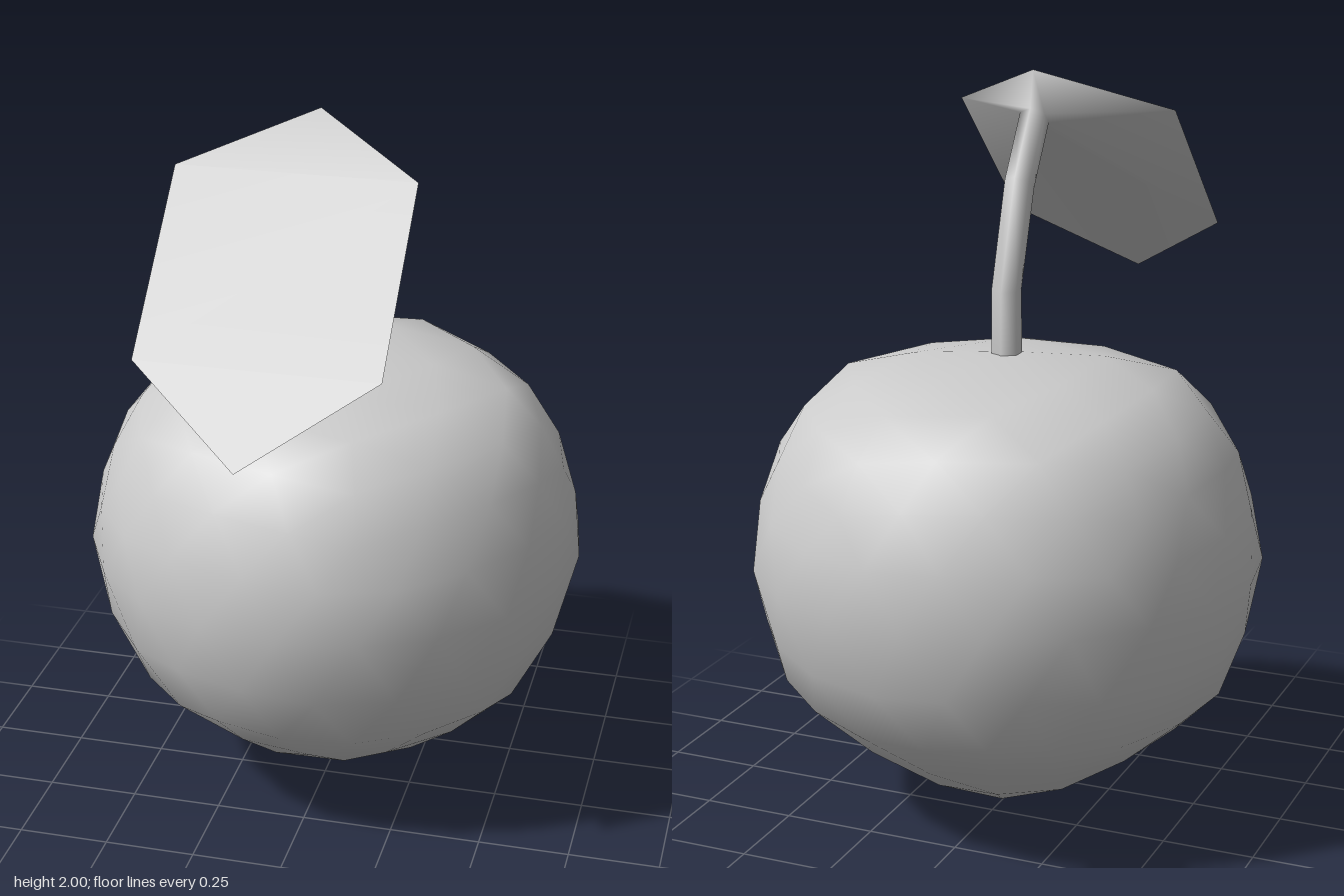
import * as THREE from 'three';
import { mergeVertices } from 'three/addons/utils/BufferGeometryUtils.js';

const CENTRE_Z = -0.14;

function makeMesh(name, geometry) {
  geometry.computeVertexNormals();
  const mesh = new THREE.Mesh(geometry, new THREE.MeshStandardMaterial({ color: 0xcccccc }));
  mesh.name = name;
  return mesh;
}

function fromLoops(points, index) {
  const geometry = new THREE.BufferGeometry();
  geometry.setAttribute('position', new THREE.Float32BufferAttribute(points.flat(), 3));
  geometry.setIndex(index);
  return geometry;
}

// Fruit: an icosphere with a pole up, reshaped by a profile of [polar angle, radius, height]
function makeFruit() {
  const profile = [
    [0, 0, 1.28], [14.5, 0.27, 1.25], [31.7, 0.47, 1.2], [48.9, 0.57, 1.1],
    [63.4, 0.635, 0.98], [76.9, 0.67, 0.85], [90, 0.69, 0.72], [103.1, 0.66, 0.56],
    [116.6, 0.61, 0.4], [131.1, 0.49, 0.28], [148.3, 0.325, 0.15], [165.5, 0.18, 0.07],
    [180, 0, 0],
  ];
  let geometry = new THREE.IcosahedronGeometry(1, 3);
  geometry.deleteAttribute('uv');
  geometry.deleteAttribute('normal');
  geometry = mergeVertices(geometry, 1e-3);
  geometry.rotateZ(-Math.atan(2 / (1 + Math.sqrt(5))));
  const pos = geometry.attributes.position;
  const v = new THREE.Vector3();
  for (let i = 0; i < pos.count; i++) {
    v.fromBufferAttribute(pos, i).normalize();
    const polar = THREE.MathUtils.radToDeg(Math.acos(THREE.MathUtils.clamp(v.y, -1, 1)));
    let k = 1;
    while (k < profile.length - 1 && profile[k][0] < polar) k++;
    const [a0, r0, y0] = profile[k - 1];
    const [a1, r1, y1] = profile[k];
    const t = (polar - a0) / (a1 - a0);
    const radius = THREE.MathUtils.lerp(r0, r1, t);
    const flat = Math.hypot(v.x, v.z) || 1;
    pos.setXYZ(i, (v.x / flat) * radius, THREE.MathUtils.lerp(y0, y1, t), CENTRE_Z + (v.z / flat) * radius);
  }
  return makeMesh('fruit', geometry);
}

// Six-sided loop, given its rear and front corners in the side plane
function stemLoop([backZ, backY, frontZ, frontY]) {
  const sides = [0, 0.25, 0.75, 1, 0.75, 0.25];
  const widths = [0, 1, 1, 0, -1, -1];
  return sides.map((t, i) => [
    widths[i] * 0.035,
    THREE.MathUtils.lerp(backY, frontY, t),
    THREE.MathUtils.lerp(backZ, frontZ, t),
  ]);
}

export function createModel() {
  const group = new THREE.Group();
  group.add(makeFruit());

  // Leaf outline, starting at the rear tip
  const leafLoop = [
    [0, 2.0, 0.04], [0.295, 1.885, 0.235], [0.295, 1.51, 0.625],
    [-0.02, 1.325, 0.82], [-0.33, 1.51, 0.625], [-0.33, 1.885, 0.235],
  ];

  // Bent stem that flares out into the underside of the leaf
  const loops = [
    [-0.18, 1.25, -0.1, 1.25],
    [-0.178, 1.445, -0.103, 1.45],
    [-0.085, 1.735, -0.02, 1.69],
    [0.02, 1.9, 0.08, 1.845],
  ].map(stemLoop);
  loops.push(leafLoop);
  const index = [];
  for (let r = 0; r < loops.length - 1; r++) {
    for (let i = 0; i < 6; i++) {
      const a = r * 6 + i;
      const b = r * 6 + ((i + 1) % 6);
      index.push(a, a + 6, b + 6, a, b + 6, b);
    }
  }
  group.add(makeMesh('stemAndLeafUnderside', fromLoops(loops.flat(), index)));

  // Upper face of the leaf
  group.add(makeMesh('leafTop', fromLoops(leafLoop, [0, 5, 1, 1, 5, 4, 1, 4, 2, 2, 4, 3])));
  return group;
}
